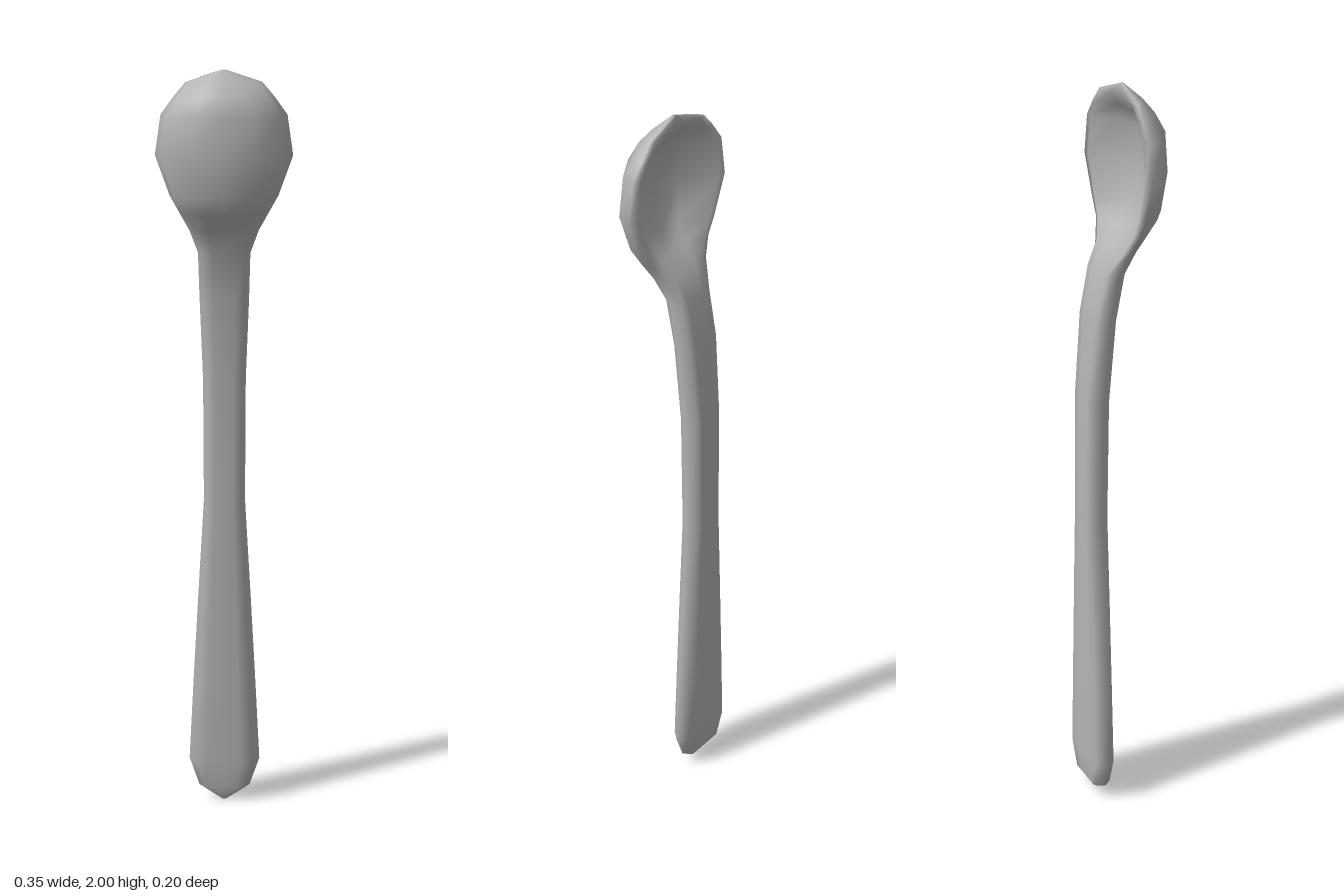
import * as THREE from 'three';

// Lengthwise stations: height, half width, front z, edge z, back z, bowl amount (0 handle, 1 bowl)
const HANDLE = [
  [0.0, 0.006, -0.062, -0.068, -0.072, 0],
  [0.04, 0.07, -0.047, -0.072, -0.096, 0],
  [0.12, 0.097, -0.045, -0.072, -0.1, 0],
  [0.35, 0.085, -0.045, -0.072, -0.1, 0],
  [0.6, 0.071, -0.045, -0.072, -0.1, 0],
  [0.87, 0.055, -0.045, -0.072, -0.1, 0],
  [1.2, 0.056, -0.04, -0.066, -0.096, 0],
  [1.42, 0.064, -0.023, -0.05, -0.077, 0],
  [1.54, 0.067, 0.0, -0.028, -0.052, 0],
];
const BOWL = [
  [1.6, 0.088, 0.03, -0.012, -0.018, 0.5],
  [1.645, 0.112, 0.062, -0.001, 0.02, 1],
  [1.69, 0.137, 0.092, 0.001, 0.055, 1],
  [1.79, 0.173, 0.1, 0.0, 0.071, 1],
  [1.89, 0.158, 0.096, 0.0, 0.06, 1],
  [1.935, 0.125, 0.075, 0.0, 0.034, 1],
  [1.97, 0.095, 0.048, 0.002, 0.004, 1],
  [2.0, 0.006, 0.02, 0.014, 0.01, 1],
];

// Closed cross-section: front centre, round the +x edge, back, and round the -x edge
function section([y, w, zf, ze, zb, b]) {
  const mix = THREE.MathUtils.lerp;
  const half = [
    [0, zf],
    [w * 0.45, zf],
    [w * mix(0.8, 0.9, b), mix(mix(zf, ze, 0.15), mix(zf, ze, 0.5), b)],
    [w, ze + 0.004 * b],
    [w * mix(0.77, 0.84, b), mix(zb, ze, b)],
    [w * 0.42, zb],
    [0, zb],
  ];
  const mirrored = half.slice(1, -1).reverse().map(([x, z]) => [-x, z]);
  return [...half, ...mirrored].map(([x, z]) => [x, y, z]);
}

// Skin consecutive rings and cap both ends
function loft(stations) {
  const rings = stations.map(section);
  const n = rings[0].length, last = (rings.length - 1) * n;
  const index = [];
  for (let j = 0; j < rings.length - 1; j++) {
    for (let i = 0; i < n; i++) {
      const a = j * n + i, b = j * n + (i + 1) % n;
      index.push(a, b, b + n, a, b + n, a + n);
    }
  }
  for (let i = 1; i < n - 1; i++) {
    index.push(0, i + 1, i, last, last + i, last + i + 1);
  }
  const geometry = new THREE.BufferGeometry();
  geometry.setAttribute('position', new THREE.Float32BufferAttribute(rings.flat(2), 3));
  geometry.setIndex(index);
  geometry.computeVertexNormals();
  return geometry;
}

export function createModel() {
  const group = new THREE.Group();
  group.name = 'spoon';
  const metal = new THREE.MeshStandardMaterial({ color: 0xb4b4b4 });
  metal.name = 'grey metal';

  // Handle and hollow bowl form one continuous smooth skin
  const body = new THREE.Mesh(loft([...HANDLE, ...BOWL]), metal);
  body.name = 'handleAndBowl';
  group.add(body);
  return group;
}
